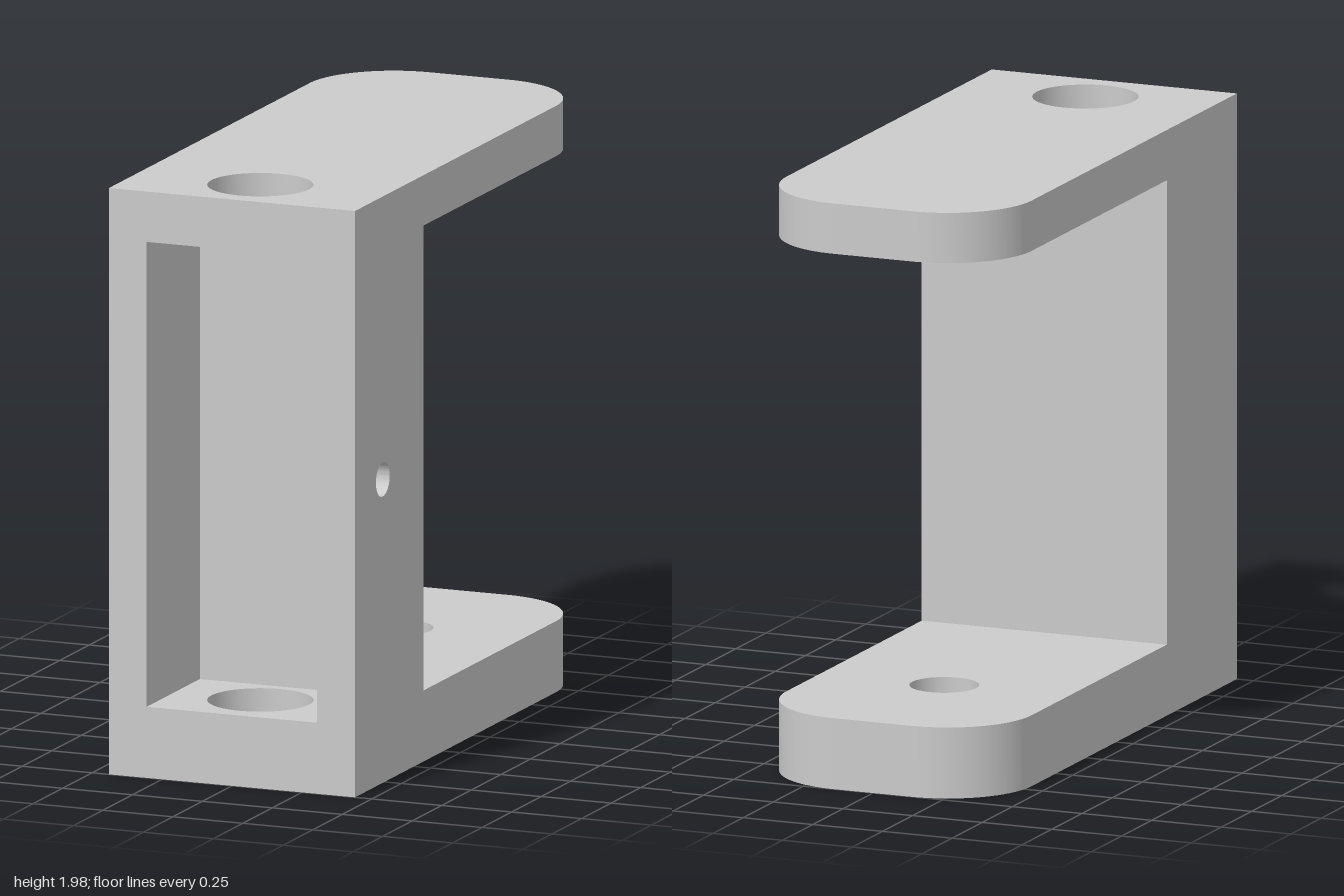
import * as THREE from 'three';
import { toCreasedNormals } from 'three/addons/utils/BufferGeometryUtils.js';

const HALF_W = 0.44, HEIGHT = 1.98, CORNER = 0.3;
const CAV_X = 0.305, CAV_BOTTOM = 0.24, CAV_TOP = 1.81; // front pocket
const WALL_BACK = 0.42, POCKET_BACK = 0.55;

export function createModel() {
  const group = new THREE.Group();
  const material = new THREE.MeshStandardMaterial({ color: 0xcccccc });

  function add(name, geometry, x = 0, y = 0, z = 0) {
    const mesh = new THREE.Mesh(geometry, material);
    mesh.name = name;
    mesh.position.set(x, y, z);
    group.add(mesh);
  }

  function extrude(shape, depth) {
    return new THREE.ExtrudeGeometry(shape, { depth, bevelEnabled: false, curveSegments: 32 });
  }

  function punch(shape, x, y, r) {
    shape.holes.push(new THREE.Path().absarc(x, y, r, 0, Math.PI * 2, true));
  }

  // Horizontal arm with rounded rear corners; holes are [z, radius] on the centre line
  function arm(thickness, holes) {
    const s = new THREE.Shape();
    s.moveTo(-HALF_W, -1);
    s.lineTo(HALF_W, -1);
    s.lineTo(HALF_W, 1 - CORNER);
    s.absarc(HALF_W - CORNER, 1 - CORNER, CORNER, 0, Math.PI / 2, false);
    s.lineTo(CORNER - HALF_W, 1);
    s.absarc(CORNER - HALF_W, 1 - CORNER, CORNER, Math.PI / 2, Math.PI, false);
    s.closePath();
    holes.forEach(([z, r]) => punch(s, 0, -z, r));
    return toCreasedNormals(extrude(s, thickness).rotateX(-Math.PI / 2), 0.5);
  }

  add('topArm', arm(HEIGHT - CAV_TOP, [[0.76, 0.175]]), 0, CAV_TOP, 0);
  add('bottomArm', arm(CAV_BOTTOM, [[0.76, 0.175], [-0.41, 0.115]]));

  // Upright walls around the front pocket
  const wallH = CAV_TOP - CAV_BOTTOM, midY = (CAV_TOP + CAV_BOTTOM) / 2;
  const sideT = HALF_W - CAV_X, sideD = 1 - POCKET_BACK;
  add('backWall', new THREE.BoxGeometry(HALF_W * 2, wallH, POCKET_BACK - WALL_BACK),
    0, midY, (WALL_BACK + POCKET_BACK) / 2);
  add('rightWall', new THREE.BoxGeometry(sideT, wallH, sideD),
    -(HALF_W + CAV_X) / 2, midY, (1 + POCKET_BACK) / 2);

  // Left wall with the small cross hole
  const side = new THREE.Shape();
  side.moveTo(-1, CAV_BOTTOM);
  side.lineTo(-POCKET_BACK, CAV_BOTTOM);
  side.lineTo(-POCKET_BACK, CAV_TOP);
  side.lineTo(-1, CAV_TOP);
  side.closePath();
  punch(side, -0.765, 1.025, 0.058);
  add('leftWall', toCreasedNormals(extrude(side, sideT).rotateY(Math.PI / 2), 0.5), CAV_X, 0, 0);

  return group;
}
